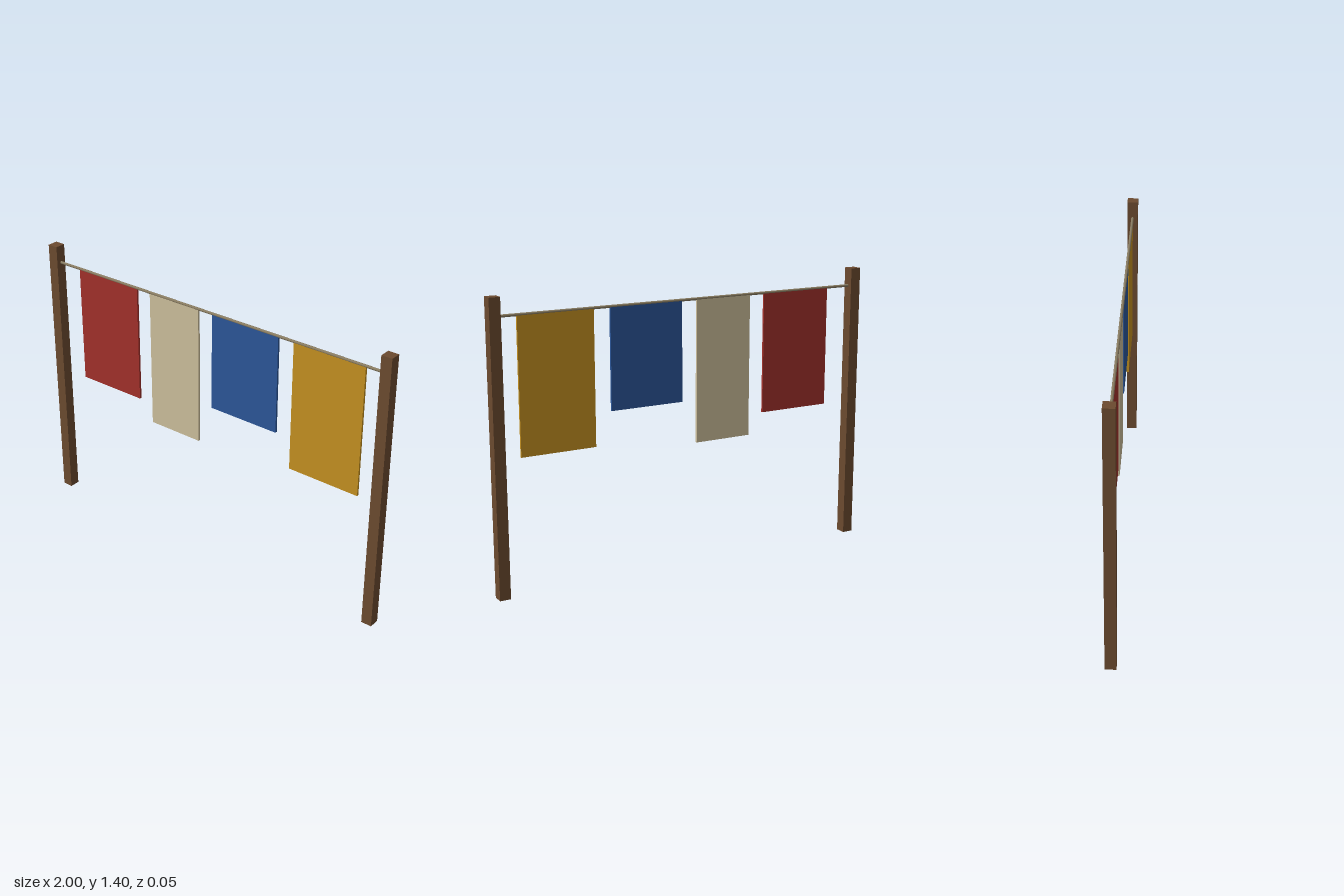
import * as THREE from 'three';

export function createModel() {
  const model = new THREE.Group();
  model.name = 'clothesline';

  const add = (name, geometry, color, x, y) => {
    const mesh = new THREE.Mesh(geometry, new THREE.MeshStandardMaterial({ color }));
    mesh.name = name;
    mesh.position.set(x, y, 0);
    model.add(mesh);
    return mesh;
  };

  // Square wooden posts
  const postWidth = 0.054, postHeight = 1.405;
  for (const side of [-1, 1]) {
    add(side > 0 ? 'leftPost' : 'rightPost',
      new THREE.BoxGeometry(postWidth, postHeight, postWidth),
      0x6b4a2f, side * (1 - postWidth / 2), postHeight / 2);
  }

  // Taut line between the posts
  const lineY = 1.316;
  add('line', new THREE.CylinderGeometry(0.007, 0.007, 1.946, 8), 0x8a7d62, 0, lineY)
    .rotation.z = Math.PI / 2;

  // Hanging cloths: name, right edge, left edge, bottom, color
  const cloths = [
    ['redCloth', -0.813, -0.436, 0.715, 0xa0302a],
    ['creamCloth', -0.354, -0.056, 0.609, 0xcbbd9a],
    ['blueCloth', 0.025, 0.403, 0.823, 0x2b5597],
    ['yellowCloth', 0.487, 0.863, 0.661, 0xc28f20],
  ];
  for (const [name, x0, x1, bottom, color] of cloths) {
    add(name, new THREE.BoxGeometry(x1 - x0, lineY - bottom, 0.011), color,
      (x0 + x1) / 2, (lineY + bottom) / 2);
  }

  return model;
}
